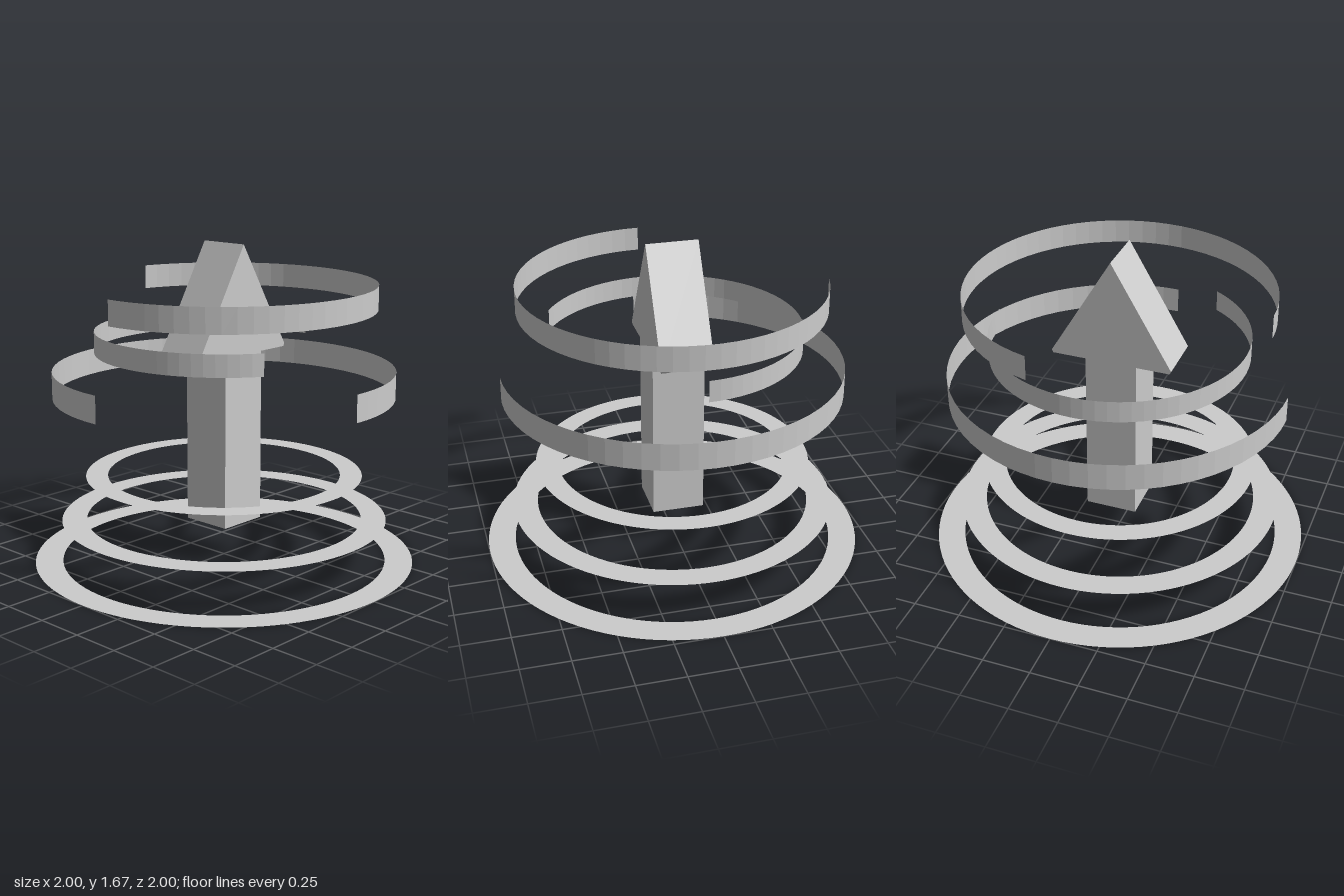
import * as THREE from 'three';

const grey = new THREE.MeshStandardMaterial({ color: 0xcccccc, flatShading: true });
const thin = new THREE.MeshStandardMaterial({ color: 0xcccccc, flatShading: true, side: THREE.DoubleSide });

export function createModel() {
  const model = new THREE.Group();

  const add = (name, geometry, material, y = 0) => {
    const mesh = new THREE.Mesh(geometry, material);
    mesh.name = name;
    mesh.position.y = y;
    model.add(mesh);
  };

  // Flat ground rings, stacked and shrinking upwards: inner radius, outer radius, height
  [
    ['lowerRing', 0.855, 1.0, 0],
    ['middleRing', 0.725, 0.855, 0.22],
    ['upperRing', 0.61, 0.725, 0.455],
  ].forEach(([name, inner, outer, y]) =>
    add(name, new THREE.RingGeometry(inner, outer, 96).rotateX(-Math.PI / 2), thin, y));

  // Open arc bands circling the arrow: radius, bottom, top, start and end in degrees from +z towards +x
  [
    ['lowerBand', 0.887, 0.88, 1.02, 88.4, 359.9],
    ['middleBand', 0.668, 1.11, 1.222, 180.5, 419.5],
    ['upperBand', 0.788, 1.337, 1.465, -0.7, 257],
  ].forEach(([name, radius, bottom, top, start, end]) =>
    add(name, new THREE.CylinderGeometry(radius, radius, top - bottom, 48, 1, true,
      THREE.MathUtils.degToRad(start), THREE.MathUtils.degToRad(end - start)),
    thin, (bottom + top) / 2));

  // Upright arrow: one outline, mirrored, with slightly clipped head corners
  const half = 0.136;
  const side = [[half, 0.205], [half, 1.107], [0.311, 1.107], [0.32, 1.122]];
  const outline = [...side, [0, 1.668], ...side.map(([z, y]) => [-z, y]).reverse()];
  const shape = new THREE.Shape(outline.map(([z, y]) => new THREE.Vector2(z, y)));
  const arrow = new THREE.ExtrudeGeometry(shape, { depth: 2 * half, bevelEnabled: false });
  add('arrow', arrow.translate(0, 0, -half).rotateY(Math.PI / 2), grey);

  return model;
}
